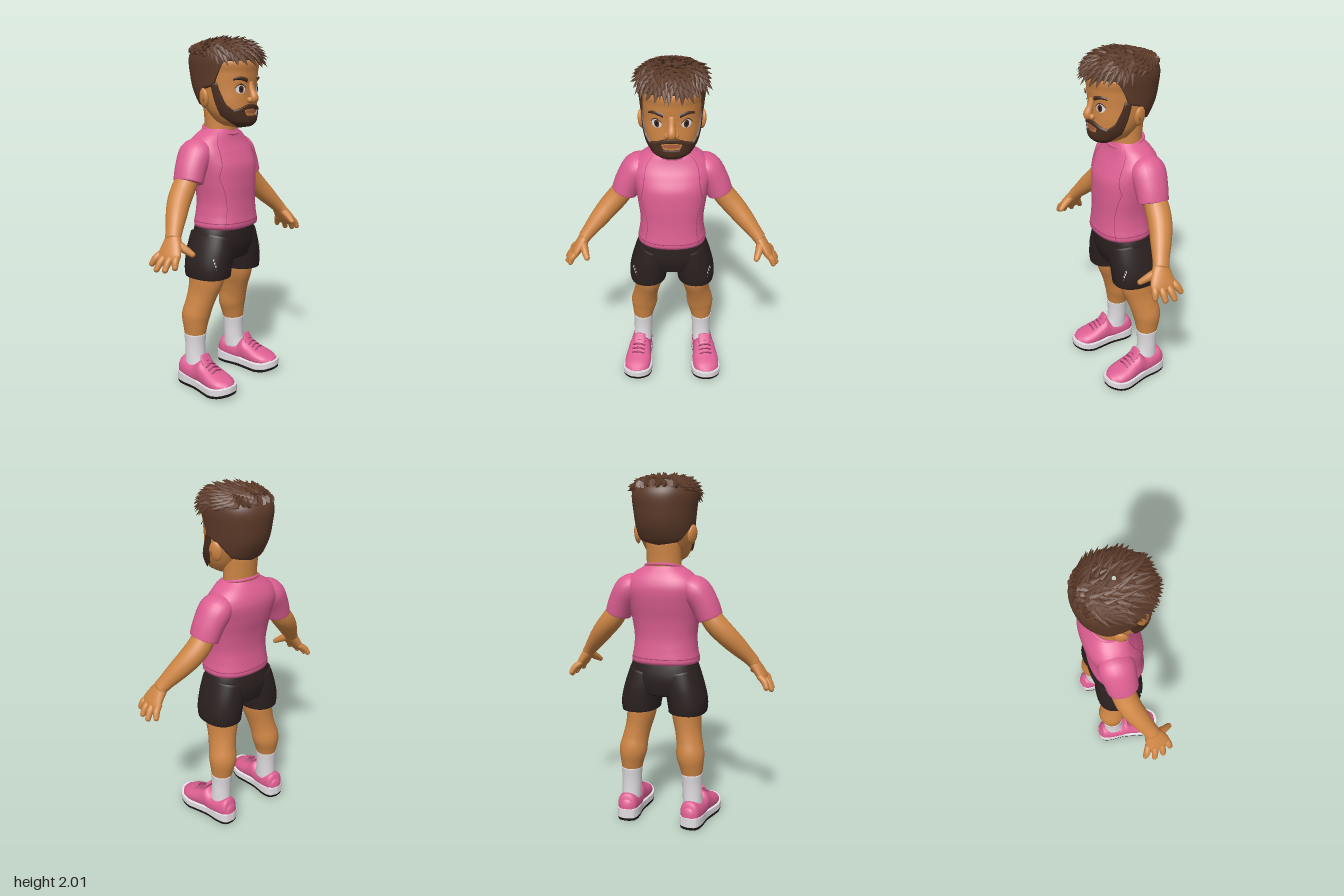
import * as THREE from 'three';
import { mergeVertices, mergeGeometries } from 'three/addons/utils/BufferGeometryUtils.js';

const mat = (name, color) => Object.assign(new THREE.MeshStandardMaterial({ color }), { name });
const M = {
  skin: mat('skin', 0xcf8645), hair: mat('hair brown', 0x5e3c2a), beard: mat('beard brown', 0x4a2e20),
  pink: mat('sport pink', 0xdd5f92), deep: mat('deep pink', 0x9e3a66), shorts: mat('shorts black', 0x2b2020),
  white: mat('white', 0xe2dee2), black: mat('sole black', 0x171414), lip: mat('lip', 0xa86040),
};
const V = (x, y, z) => new THREE.Vector3(x, y, z);
const spline = (a, b, c, d, t) => 0.5 * (2 * b + (c - a) * t + (2 * a - 5 * b + 4 * c - d) * t * t + (3 * b - a - 3 * c + d) * t ** 3);
const rowAt = (rows, i, t) => {
  const r = k => rows[Math.min(Math.max(k, 0), rows.length - 1)];
  return rows[0].map((_, k) => spline(r(i - 1)[k], r(i)[k], r(i + 1)[k], r(i + 2)[k], t));
};

// Grid of points f(u, v) joined into a smooth surface; u x v points outwards
function grid(nu, nv, f) {
  const pos = [], idx = [], w = nu + 1;
  for (let j = 0; j <= nv; j++) for (let i = 0; i <= nu; i++) pos.push(...f(i / nu, j / nv, j).toArray());
  for (let j = 0; j < nv; j++) for (let i = 0; i < nu; i++) {
    const a = j * w + i;
    idx.push(a, a + 1, a + w + 1, a, a + w + 1, a + w);
  }
  let g = new THREE.BufferGeometry();
  g.setAttribute('position', new THREE.Float32BufferAttribute(pos, 3));
  g.setIndex(idx);
  g = mergeVertices(g, 1e-5);
  g.computeVertexNormals();
  return g;
}

// Limb through sections [x, y, z, halfWidth, halfDepth] with rounded ends
function loft(rows, { ref = V(0, 0, 1), axis = null, round = 0.5, seg = 22, power = 1 } = {}) {
  const rings = [];
  for (let i = 0; i < rows.length - 1; i++) for (let k = 0; k < 5; k++) rings.push(rowAt(rows, i, k / 5));
  rings.push(rows[rows.length - 1]);
  const C = rings.map(r => V(r[0], r[1], r[2]));
  const T = C.map((_, i) => axis ? axis.clone() : C[Math.min(i + 1, C.length - 1)].clone().sub(C[Math.max(i - 1, 0)]).normalize());
  const list = [], L = C.length - 1, ends = [[0, 1], [0.45, 0.88], [0.8, 0.6], [0.97, 0.25]];
  const add = (i, s, o) => list.push({ c: C[i].clone().addScaledVector(T[i], o * round * Math.min(rings[i][3], rings[i][4])), t: T[i], a: rings[i][3] * s, b: rings[i][4] * s });
  ends.forEach(([s, o]) => add(0, s, -o));
  for (let i = 0; i <= L; i++) add(i, 1, 0);
  [...ends].reverse().forEach(([s, o]) => add(L, s, o));
  const sq = v => Math.sign(v) * Math.abs(v) ** power;
  return grid(seg, list.length - 1, (u, v, j) => {
    const { c, t, a, b } = list[j], p = u * Math.PI * 2;
    const N = ref.clone().addScaledVector(t, -ref.dot(t)).normalize(), B = N.clone().cross(t);
    return c.clone().addScaledVector(B, a * sq(u === 1 ? 1 : Math.cos(p))).addScaledVector(N, b * sq(u === 1 ? 0 : Math.sin(p)));
  });
}

// Upright body from rows [y, front z, back z, halfWidth]; angle 0 is the front
const body = (rows, power) => (th, y, off = 0) => {
  let i = 0;
  while (i < rows.length - 2 && y > rows[i + 1][0]) i++;
  const t = Math.min(Math.max((y - rows[i][0]) / (rows[i + 1][0] - rows[i][0]), 0), 1);
  const [, f, b, w] = rowAt(rows, i, t), sq = v => Math.sign(v) * Math.abs(v) ** power;
  return V((w + off) * sq(Math.sin(th)), y, (f + b) / 2 + ((f - b) / 2 + off) * sq(Math.cos(th)));
};
const patch = (surf, nu, nv, f) => grid(nu, nv, (u, v) => surf(...f(u, v)));
const solid = (surf, y0, y1) => patch(surf, 48, 40, (u, v) => [u === 1 ? 0 : u * Math.PI * 2, y0 + (y1 - y0) * v]);
const disc = (surf, th, y, a, b, off) => patch(surf, 24, 4, (u, v) =>
  [th + a * (1 - v) * Math.cos(u * Math.PI * 2), y + b * (1 - v) * Math.sin(u * Math.PI * 2), off]);
const table = (pts, x) => {
  let i = 0;
  while (i < pts.length - 2 && x > pts[i + 1][0]) i++;
  return THREE.MathUtils.mapLinear(Math.min(x, pts[pts.length - 1][0]), pts[i][0], pts[i + 1][0], pts[i][1], pts[i + 1][1]);
};
function mirrored(g) {
  const m = g.clone().scale(-1, 1, 1), a = m.index.array;
  for (let i = 0; i < a.length; i += 3) [a[i], a[i + 1]] = [a[i + 1], a[i]];
  return m;
}
const tube = (pts, r, closed = false) => new THREE.TubeGeometry(new THREE.CatmullRomCurve3(pts, closed), 40, r, 6, closed);

export function createModel() {
  const model = new THREE.Group();
  const add = (name, g, m) => { const o = new THREE.Mesh(g, m); o.name = name; model.add(o); };
  const pair = (name, g, m) => { add('left' + name, g, m); add('right' + name, mirrored(g), m); };

  // Head, neck, ears and nose
  const head = body([[1.508, 0.09, 0.05, 0.015], [1.516, 0.14, 0.0, 0.06], [1.54, 0.163, -0.05, 0.1], [1.59, 0.165, -0.09, 0.13],
    [1.65, 0.164, -0.13, 0.146], [1.72, 0.163, -0.17, 0.152], [1.8, 0.17, -0.19, 0.156], [1.88, 0.165, -0.19, 0.155], [1.95, 0.03, -0.06, 0.03]], 0.88);
  add('head', solid(head, 1.508, 1.95), M.skin);
  add('neck', loft([[0, 1.42, -0.05, 0.11, 0.09], [0, 1.5, -0.045, 0.098, 0.085], [0, 1.63, -0.05, 0.1, 0.09]]), M.skin);
  pair('Ear', new THREE.SphereGeometry(1, 20, 14).scale(0.018, 0.054, 0.038).rotateY(0.35).rotateZ(-0.12).translate(0.16, 1.67, -0.035), M.skin);
  pair('EarHollow', new THREE.SphereGeometry(1, 16, 10).scale(0.008, 0.03, 0.018).rotateY(0.35).translate(0.172, 1.675, -0.028), M.lip);
  add('nose', loft([[0, 1.75, 0.158, 0.018, 0.014], [0, 1.71, 0.17, 0.019, 0.018], [0, 1.675, 0.184, 0.024, 0.024], [0, 1.66, 0.182, 0.024, 0.022]], { round: 0.8 }), M.skin);
  pair('Nostril', new THREE.SphereGeometry(0.017, 14, 10).translate(0.022, 1.66, 0.172), M.skin);

  // Eyes, brows and mouth
  pair('EyeWhite', disc(head, 0.47, 1.718, 0.19, 0.023, 0.003), M.white);
  pair('Iris', disc(head, 0.45, 1.718, 0.095, 0.02, 0.005), M.beard);
  pair('Pupil', disc(head, 0.45, 1.718, 0.045, 0.01, 0.007), M.black);
  pair('EyeLash', patch(head, 14, 2, (u, v) => [0.27 + u * 0.41, 1.722 + 0.02 * Math.sin(u * Math.PI) + v * 0.006, 0.006]), M.beard);
  pair('Brow', patch(head, 14, 4, (u, v) => [0.22 + u * 0.54, 1.752 + 0.016 * Math.sin(u * 2.4) + v * 0.024 * (1 - u * 0.5), 0.004 + 0.006 * Math.sin(v * Math.PI)]), M.beard);
  add('mouth', disc(head, 0, 1.598, 0.3, 0.012, 0.005), M.lip);

  // Beard and moustache
  const beardTop = [[0, 1.577], [0.3, 1.58], [0.42, 1.625], [0.6, 1.62], [0.85, 1.61], [1.1, 1.64], [1.25, 1.72], [1.3, 1.76], [1.55, 1.76]];
  add('beard', patch(head, 90, 16, (u, v) => {
    const th = (u * 2 - 1) * 1.52, top = table(beardTop, Math.abs(th));
    const low = table([[0, 1.508], [1, 1.508], [1.52, 1.58]], Math.abs(th));
    return [th, low + (top - low) * v, v === 1 || u === 0 || u === 1 ? -0.004 : 0.009];
  }), M.beard);
  add('moustache', patch(head, 30, 6, (u, v) => {
    const th = (u * 2 - 1) * 0.52, k = Math.abs(u * 2 - 1);
    return [th, 1.612 - 0.018 * k * k + v * (0.03 - 0.006 * k), v === 0 || v === 1 ? -0.003 : 0.01];
  }), M.beard);

  // Hair: smooth cropped sides and overlapping forward tufts on top
  const cap = body([[1.58, 0.17, -0.11, 0.12], [1.64, 0.172, -0.16, 0.15], [1.72, 0.175, -0.2, 0.163], [1.8, 0.178, -0.217, 0.172],
    [1.88, 0.182, -0.222, 0.18], [1.93, 0.165, -0.2, 0.168], [1.965, 0.11, -0.14, 0.12], [1.98, 0.0, -0.02, 0.01]], 0.95);
  const hairline = [[0, 1.87], [1, 1.86], [1.2, 1.79], [1.35, 1.73], [1.65, 1.715], [1.95, 1.68], [2.3, 1.625], [3.15, 1.6]];
  add('croppedHair', patch(cap, 72, 26, (u, v) => {
    const th = (u * 2 - 1) * Math.PI, y = table(hairline, Math.abs(th));
    return [th, y + (1.98 - y) * v, v === 0 ? -0.035 : 0];
  }), M.hair);
  const tufts = [], count = 190;
  for (let i = 0; i < count; i++) {
    const k = (i + 0.5) / count, th = i * 2.39996, wob = Math.sin(i * 12.9);
    const low = 1.895 - 0.03 * Math.cos(th), y = 1.974 - (1.974 - low) * k ** 1.3;
    const p = cap(th, y, -0.004), n = p.clone().sub(V(0, 1.84, -0.01)).normalize();
    const dir = V(p.x * 3 + wob * 0.25, 0.3 - k * (p.z > 0 ? 1.3 : 0.5), p.z * 1.5 + 0.55).normalize();
    const X = dir.clone().cross(n).normalize(), Z = X.clone().cross(dir);
    const g = new THREE.ConeGeometry(1, 1, 6, 2).translate(0, 0.3, 0).scale(0.022, 0.072 + 0.012 * wob, 0.014);
    tufts.push(g.applyMatrix4(new THREE.Matrix4().makeBasis(X, dir, Z).setPosition(p)));
  }
  add('hairTufts', mergeGeometries(tufts), M.hair);

  // Shirt with sleeves, collar, hems and seams
  const shirt = body([[0.94, 0.12, -0.145, 0.17], [0.95, 0.147, -0.165, 0.193], [0.975, 0.152, -0.168, 0.194], [1.02, 0.146, -0.162, 0.185],
    [1.1, 0.14, -0.155, 0.18], [1.2, 0.138, -0.165, 0.192], [1.3, 0.128, -0.187, 0.208], [1.38, 0.09, -0.195, 0.222],
    [1.43, 0.062, -0.182, 0.2], [1.47, 0.048, -0.158, 0.155], [1.5, 0.036, -0.136, 0.105]], 0.86);
  add('shirt', solid(shirt, 0.94, 1.5), M.pink);
  pair('Sleeve', loft([[0.13, 1.405, -0.07, 0.05, 0.075], [0.19, 1.372, -0.07, 0.08, 0.1], [0.24, 1.295, -0.065, 0.079, 0.094], [0.27, 1.222, -0.06, 0.074, 0.088]], { round: 0.12 }), M.pink);
  const ring = (f, n = 28) => Array.from({ length: n }, (_, i) => f(i / n * Math.PI * 2));
  add('collar', tube(ring(t => V(0.103 * Math.sin(t), 1.492 - 0.022 * Math.cos(t), -0.045 + 0.094 * Math.cos(t))), 0.009, true), M.pink);
  add('hemSeam', patch(shirt, 60, 1, (u, v) => [u * Math.PI * 2, 0.982 + v * 0.004, 0.0015]), M.deep);
  pair('RaglanSeam', patch(shirt, 1, 16, (u, v) => [0.95 - v * 0.2 - 0.18 * Math.sin(v * Math.PI) + u * 0.022, 1.25 + v * 0.23, 0.002]), M.deep);
  pair('SideSeam', patch(shirt, 1, 16, (u, v) => [0.85 - 0.12 * Math.sin(v * Math.PI) + v * 0.12 + u * 0.018, 0.96 + v * 0.29, 0.002]), M.deep);

  // Arms and hands
  pair('Arm', loft([[0.24, 1.285, -0.065, 0.056, 0.062], [0.3, 1.195, -0.066, 0.062, 0.068], [0.36, 1.128, -0.05, 0.06, 0.066],
    [0.42, 1.062, -0.018, 0.053, 0.058], [0.475, 1.0, 0.015, 0.041, 0.047], [0.505, 0.965, 0.032, 0.036, 0.045]]), M.skin);
  pair('Palm', loft([[0.495, 0.975, 0.028, 0.034, 0.042], [0.525, 0.932, 0.04, 0.031, 0.06], [0.553, 0.89, 0.048, 0.027, 0.073], [0.568, 0.868, 0.05, 0.021, 0.068]], { round: 0.8 }), M.skin);
  [[-0.008, -0.038, 0.592, 0.838], [0.03, 0.012, 0.612, 0.82], [0.068, 0.066, 0.607, 0.823], [0.1, 0.115, 0.585, 0.84]].forEach(([z0, z1, x, y], i) =>
    pair('Finger' + (i + 1), loft([[0.55, 0.89, z0, 0.018, 0.019], [(0.55 + x) / 2 + 0.006, (0.89 + y) / 2 + 0.004, (z0 + z1) / 2, 0.019, 0.02], [x, y, z1, 0.015, 0.016]], { round: 1, seg: 12 }), M.skin));
  pair('Thumb', loft([[0.512, 0.945, 0.06, 0.024, 0.026], [0.498, 0.918, 0.105, 0.022, 0.022], [0.482, 0.892, 0.145, 0.015, 0.016]], { round: 1, seg: 12, ref: V(1, 0, 0) }), M.skin);

  // Shorts with hems and reflective dashes
  add('shortsHips', loft([[0, 0.985, -0.015, 0.175, 0.135], [0, 0.92, -0.02, 0.2, 0.145], [0, 0.85, -0.025, 0.207, 0.148], [0, 0.775, -0.028, 0.185, 0.13]], { round: 0.2, seg: 40, power: 0.86 }), M.shorts);
  const leg = [[0.1, 0.9, -0.025, 0.1, 0.135], [0.122, 0.81, -0.028, 0.108, 0.143], [0.14, 0.72, -0.03, 0.112, 0.141], [0.141, 0.668, -0.03, 0.107, 0.136]];
  pair('ShortsLeg', loft(leg, { round: 0.06, seg: 36, power: 0.88 }), M.shorts);
  const dashes = [0, 1, 2, 3].map(i => new THREE.BoxGeometry(0.005, 0.013, 0.005).rotateZ(0.3).translate(0.205 + i * 0.006, 0.735 + i * 0.018, 0.086 - i * 0.003));
  pair('ShortsDashes', mergeGeometries(dashes), M.white);

  // Legs and socks
  pair('Leg', loft([[0.132, 0.74, -0.04, 0.085, 0.112], [0.138, 0.65, -0.045, 0.083, 0.112], [0.152, 0.56, -0.062, 0.074, 0.094], [0.165, 0.49, -0.078, 0.075, 0.086],
    [0.175, 0.42, -0.094, 0.081, 0.084], [0.182, 0.35, -0.094, 0.068, 0.071], [0.186, 0.28, -0.092, 0.055, 0.058]]), M.skin);
  pair('Sock', loft([[0.185, 0.312, -0.093, 0.063, 0.067], [0.186, 0.25, -0.092, 0.058, 0.061], [0.188, 0.18, -0.09, 0.057, 0.061], [0.19, 0.12, -0.085, 0.056, 0.07]], { round: 0.1 }), M.white);

  // Shoes, built straight then turned outwards
  const place = g => g.rotateY(0.09).translate(0.206, 0, 0);
  const half = [[0, -0.2], [0.045, -0.185], [0.062, -0.13], [0.062, -0.04], [0.078, 0.05], [0.088, 0.11], [0.075, 0.17], [0.035, 0.208], [0, 0.215]];
  const outline = (s) => new THREE.Shape(new THREE.SplineCurve([...half, ...half.slice(1, -1).reverse().map(([x, z]) => [-x, z]), half[0]]
    .map(([x, z]) => new THREE.Vector2(x * s, -z * s))).getPoints(60).slice(0, -1));
  const sole = (y, h, s) => {
    const g = mergeVertices(new THREE.ExtrudeGeometry(outline(s), { depth: h - 0.008, bevelSize: 0.004, bevelThickness: 0.004, bevelSegments: 2 })
      .rotateX(-Math.PI / 2).translate(0, y + 0.004, 0));
    const p = g.attributes.position;
    for (let i = 0; i < p.count; i++) {
      const z = p.getZ(i), rise = Math.max(0, z - 0.08) ** 2 * 1.3, heel = p.getY(i) > 0.04 ? Math.max(0, -z) * 0.1 : 0;
      p.setY(i, p.getY(i) + rise + heel);
    }
    g.computeVertexNormals();
    return place(g);
  };
  pair('Outsole', sole(0, 0.02, 0.97), M.black);
  pair('Midsole', sole(0.016, 0.04, 0.99), M.white);
  const upper = [[-0.183, 0.125, 0.04], [-0.165, 0.16, 0.055], [-0.11, 0.152, 0.064], [-0.05, 0.15, 0.066], [-0.01, 0.178, 0.068], [0.03, 0.155, 0.073],
    [0.09, 0.127, 0.081], [0.15, 0.107, 0.074], [0.19, 0.087, 0.045]].map(([z, top, w]) => [0, (top + 0.025) / 2, z, w, (top - 0.025) / 2]);
  pair('ShoeUpper', place(loft(upper, { ref: V(0, 1, 0), axis: V(0, 0, 1), round: 0.4, seg: 28, power: 0.9 })), M.pink);
  pair('ShoeTongue', place(loft([[0, 0.14, 0.03, 0.035, 0.012], [0, 0.175, 0.005, 0.038, 0.012], [0, 0.2, -0.008, 0.034, 0.01]], { round: 0.8 })), M.pink);
  for (let i = 0; i < 4; i++) {
    const z = 0.012 + i * 0.024, y = 0.172 - i * 0.0125;
    pair('Lace' + (i + 1), place(tube([V(-0.04, y - 0.014, z), V(0, y + 0.002, z + 0.004), V(0.04, y - 0.014, z)], 0.005)), M.deep);
  }
  return model;
}
